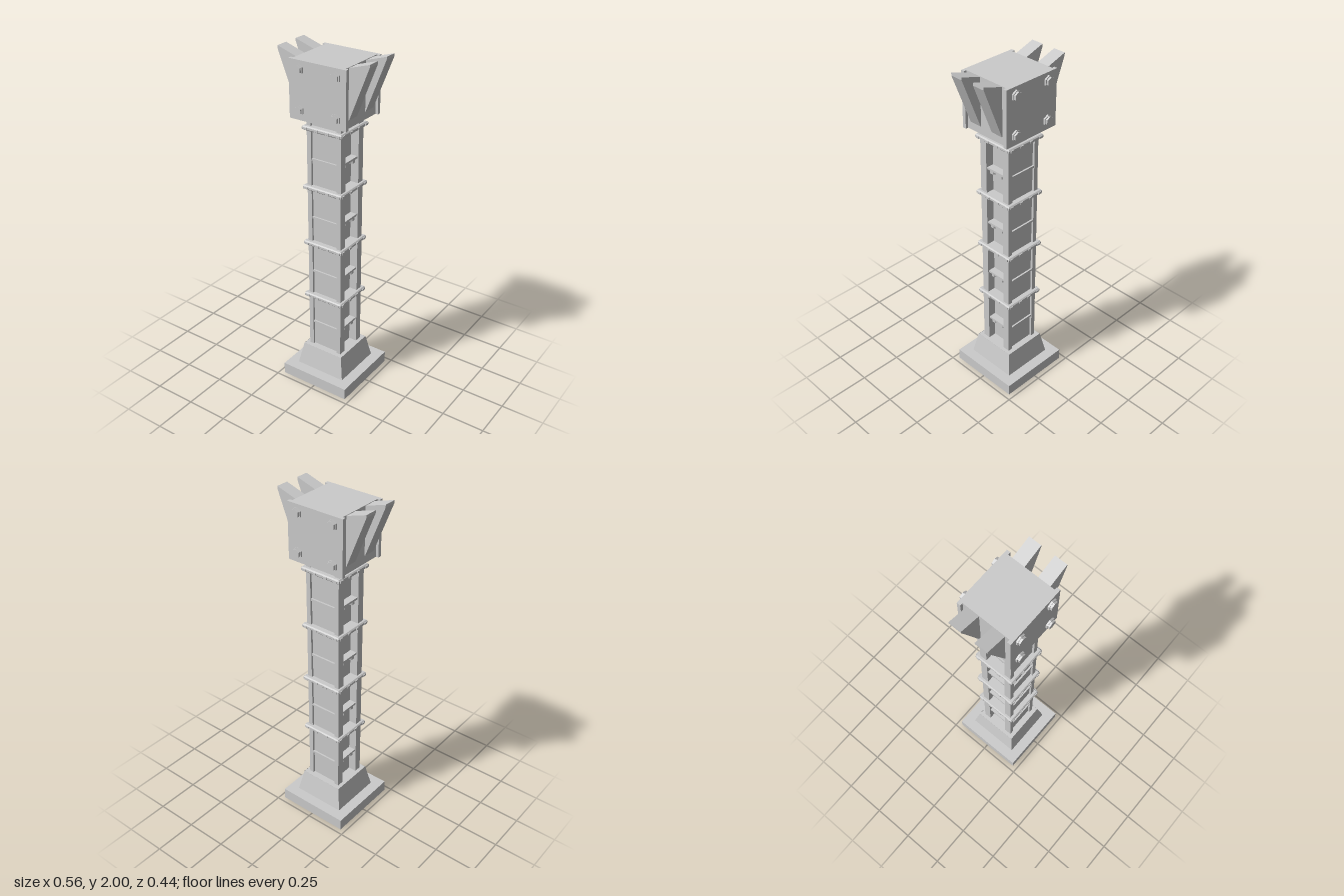
import * as THREE from 'three';

export function createModel() {
  const root = new THREE.Group();
  const mat = new THREE.MeshStandardMaterial({ color: 0xcccccc, flatShading: true });
  const thin = new THREE.MeshStandardMaterial({ color: 0xcccccc, flatShading: true, side: THREE.DoubleSide });

  const add = (name, geo, x = 0, y = 0, z = 0, parent = root, material = mat) => {
    const m = new THREE.Mesh(geo, material);
    m.name = name;
    m.position.set(x, y, z);
    parent.add(m);
    return m;
  };
  const box = (name, w, h, d, x, y, z, parent) => add(name, new THREE.BoxGeometry(w, h, d), x, y, z, parent);
  const square = (r) => new THREE.Shape([[-r, -r], [r, -r], [r, r], [-r, r]].map(([x, y]) => new THREE.Vector2(x, y)));
  const SIDES = [-1, 1];

  // Base: square frame, open underneath, with a hollow tapered foot
  const frame = square(0.22);
  frame.holes.push(square(0.157));
  const frameGeo = new THREE.ExtrudeGeometry(frame, { depth: 0.07, bevelEnabled: false });
  frameGeo.rotateX(-Math.PI / 2);
  add('basePlinth', frameGeo);
  const taper = new THREE.CylinderGeometry(0.132 * Math.SQRT2, 0.158 * Math.SQRT2, 0.135, 4, 1, true);
  taper.rotateY(Math.PI / 4);
  add('taperedFoot', taper, 0, 0.1375, 0, root, thin);
  box('footCap', 0.262, 0.008, 0.262, 0, 0.201, 0);

  // Shaft: four corner posts around a recessed core
  const bottom = 0.2, top = 1.65, h = top - bottom, mid = (top + bottom) / 2;
  box('shaftSidesCore', 0.12, h, 0.13, 0, mid, 0);
  for (const s of SIDES) {
    box('shaftPanel', 0.17, h, 0.03, 0, mid, s * 0.077);
    for (const t of SIDES) box('cornerPost', 0.027, h, 0.043, s * 0.0955, mid, t * 0.0835);
  }

  // Cross plates: thin ledges on all sides with nuts beneath the side shelves
  const nut = new THREE.CylinderGeometry(0.02, 0.02, 0.02, 6);
  for (const y of [0.365, 0.715, 1.06, 1.41]) {
    const ledge = new THREE.Group();
    ledge.name = 'crossPlate';
    ledge.position.y = y;
    root.add(ledge);
    for (const s of SIDES) {
      box('panelLedge', 0.164, 0.012, 0.012, 0, 0, s * 0.096, ledge);
      box('sideShelf', 0.045, 0.012, 0.124, s * 0.08, 0, 0, ledge);
      for (const t of SIDES) add('shelfNut', nut, s * 0.082, -0.015, t * 0.033, ledge);
    }
  }

  // Collars: bevelled square bands with small studs along each edge
  const collarGeo = new THREE.ExtrudeGeometry(square(0.12), {
    depth: 0.012, bevelEnabled: true, bevelThickness: 0.006, bevelSize: 0.006, bevelSegments: 1,
  });
  collarGeo.rotateX(-Math.PI / 2);
  collarGeo.translate(0, -0.006, 0);
  for (const y of [0.555, 0.9, 1.245, 1.59]) {
    const collar = new THREE.Group();
    collar.name = 'collar';
    collar.position.y = y;
    root.add(collar);
    add('collarBand', collarGeo, 0, 0, 0, collar);
    for (const s of SIDES) {
      for (const p of [-0.105, -0.035, 0.035, 0.105]) {
        box('collarStud', 0.02, 0.012, 0.006, p, 0, s * 0.127, collar);
        box('collarStud', 0.006, 0.012, 0.02, s * 0.127, 0, p, collar);
      }
    }
  }

  // Head block between two wider cheek plates
  box('headBlock', 0.32, 0.32, 0.28, 0, 1.805, 0);
  const boltBase = new THREE.CylinderGeometry(0.031, 0.031, 0.01, 6).rotateX(Math.PI / 2);
  const boltHead = new THREE.CylinderGeometry(0.025, 0.025, 0.012, 6).rotateX(Math.PI / 2);
  for (const s of SIDES) {
    box('cheekPlate', 0.352, 0.32, 0.021, 0, 1.805, s * 0.1485);
    for (const x of [-0.113, 0.113]) {
      for (const y of [1.7, 1.918]) {
        add('boltBase', boltBase, x, y, s * 0.164);
        add('boltHead', boltHead, x, y, s * 0.174);
      }
    }
  }

  // Flared bracket fins, two on each side
  const fin = new THREE.Shape([[0.15, 1.69], [0.163, 1.69], [0.28, 1.985], [0.28, 2], [0.16, 1.962], [0.15, 1.962]]
    .map(([x, y]) => new THREE.Vector2(x, y)));
  const finGeo = new THREE.ExtrudeGeometry(fin, { depth: 0.073, bevelEnabled: false });
  finGeo.translate(0, 0, -0.0365);
  for (const s of SIDES) {
    for (const t of SIDES) {
      const m = add('bracketFin', finGeo, 0, 0, t * 0.0765);
      if (s < 0) m.rotation.y = Math.PI;
    }
  }
  return root;
}
